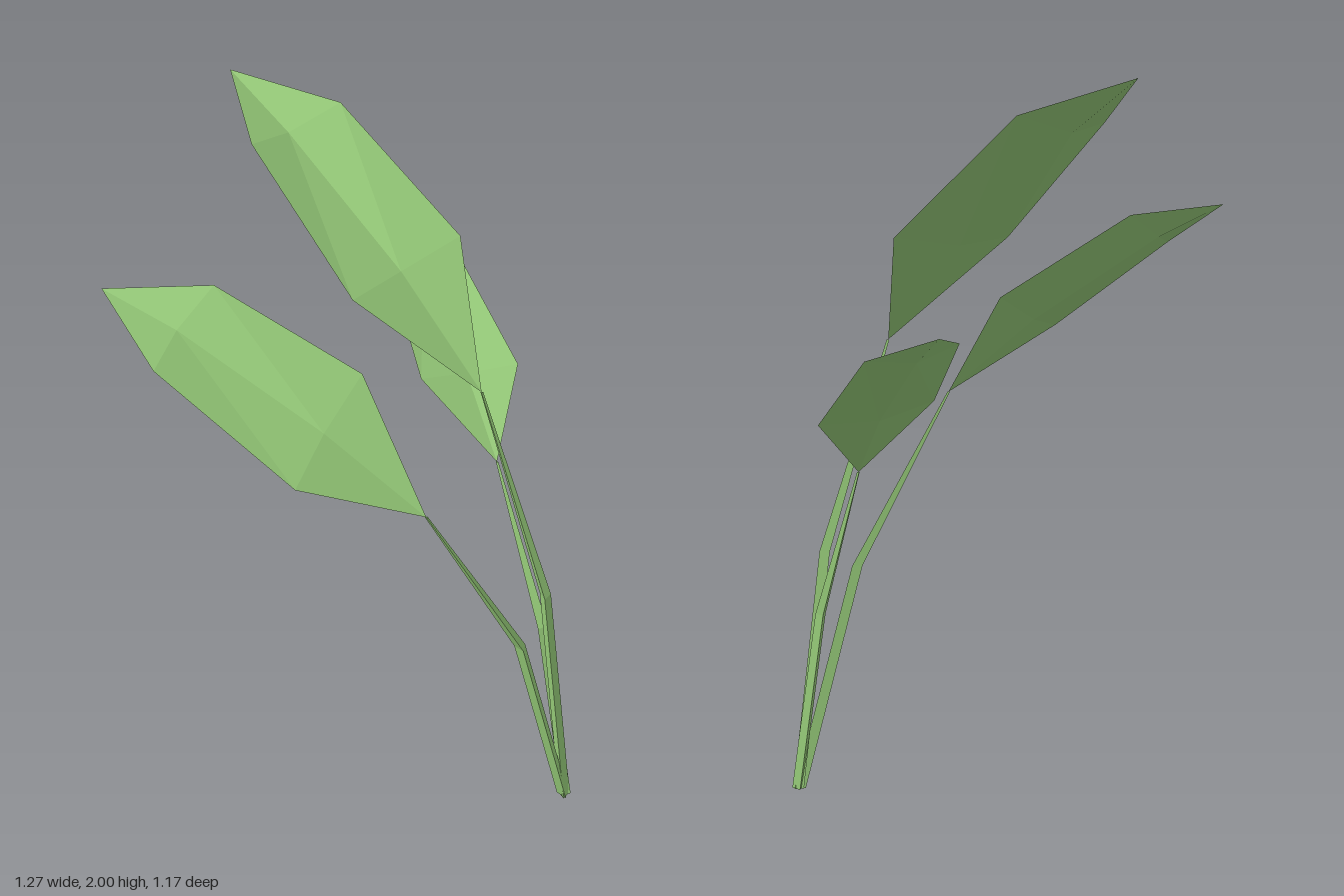
import * as THREE from 'three';

const leafGreen = new THREE.MeshStandardMaterial({ color: 0x9ad07c, side: THREE.DoubleSide });
leafGreen.name = 'leafGreen';

// Faceted mesh from points and triangles or quads
function facetedMesh(name, points, faces) {
  const positions = [];
  for (const f of faces) {
    for (let i = 1; i < f.length - 1; i++) {
      positions.push(...points[f[0]], ...points[f[i]], ...points[f[i + 1]]);
    }
  }
  const geometry = new THREE.BufferGeometry();
  geometry.setAttribute('position', new THREE.Float32BufferAttribute(positions, 3));
  geometry.computeVertexNormals();
  const mesh = new THREE.Mesh(geometry, leafGreen);
  mesh.name = name;
  return mesh;
}

// Leaf blade: base, two rows of left edge / midrib / right edge, tip
function leaf(name, points) {
  return facetedMesh(name, points, [
    [0, 3, 2], [0, 2, 1],
    [1, 2, 5, 4], [2, 3, 6, 5],
    [4, 5, 7], [5, 6, 7],
  ]);
}

// Three-sided stem tapering towards the leaf, its ridge on the inside of the bend
function stem(name, path, dx, dz) {
  const length = Math.hypot(dx, dz);
  const [ux, uz] = [dx / length, dz / length];
  const widths = [0.032, 0.03, 0.007];
  const points = [];
  path.forEach(([x, y, z], k) => {
    for (const [across, along] of [[0.5, -0.35], [-0.5, -0.35], [0, 0.55]]) {
      const a = across * widths[k], b = along * widths[k];
      points.push([x - uz * a + ux * b, y, z + ux * a + uz * b]);
    }
  });
  const faces = [[0, 1, 2], [6, 8, 7]];
  for (let k = 0; k < 2; k++) {
    for (let i = 0; i < 3; i++) {
      const j = (i + 1) % 3, lo = 3 * k, hi = lo + 3;
      faces.push([lo + j, lo + i, hi + i, hi + j]);
    }
  }
  return facetedMesh(name, points, faces);
}

const plants = [
  {
    name: 'middle', root: [0.205, 0, 0.57], knee: [0.185, 0.73, 0.46],
    blade: [[0.12, 1.345, 0.26],
      [-0.107, 1.625, 0.02], [0.115, 1.603, -0.01], [0.335, 1.625, 0.01],
      [-0.065, 1.915, -0.35], [0.105, 1.88, -0.385], [0.277, 1.915, -0.357],
      [0.1, 2, -0.583]],
  },
  {
    name: 'right', root: [0.205, 0, 0.568], knee: [0.035, 0.66, 0.492],
    blade: [[-0.205, 1.17, 0.345],
      [-0.52, 1.36, 0.2], [-0.33, 1.387, 0.12], [-0.147, 1.457, 0.085],
      [-0.637, 1.61, -0.13], [-0.49, 1.625, -0.205], [-0.35, 1.685, -0.215],
      [-0.573, 1.715, -0.367]],
  },
  {
    name: 'left', root: [0.212, 0, 0.568], knee: [0.24, 0.56, 0.42],
    blade: [[0.296, 1, 0.195],
      [0.24, 1.205, -0.037], [0.4, 1.163, 0], [0.54, 1.158, 0.077],
      [0.403, 1.375, -0.287], [0.525, 1.333, -0.263], [0.635, 1.34, -0.2],
      [0.587, 1.4, -0.4]],
  },
];

export function createModel() {
  const model = new THREE.Group();
  model.name = 'leafSprig';
  for (const { name, root, knee, blade } of plants) {
    const base = blade[0], tip = blade[7];
    model.add(leaf(name + 'Leaf', blade));
    model.add(stem(name + 'Stem', [root, knee, base], tip[0] - base[0], tip[2] - base[2]));
  }
  return model;
}
